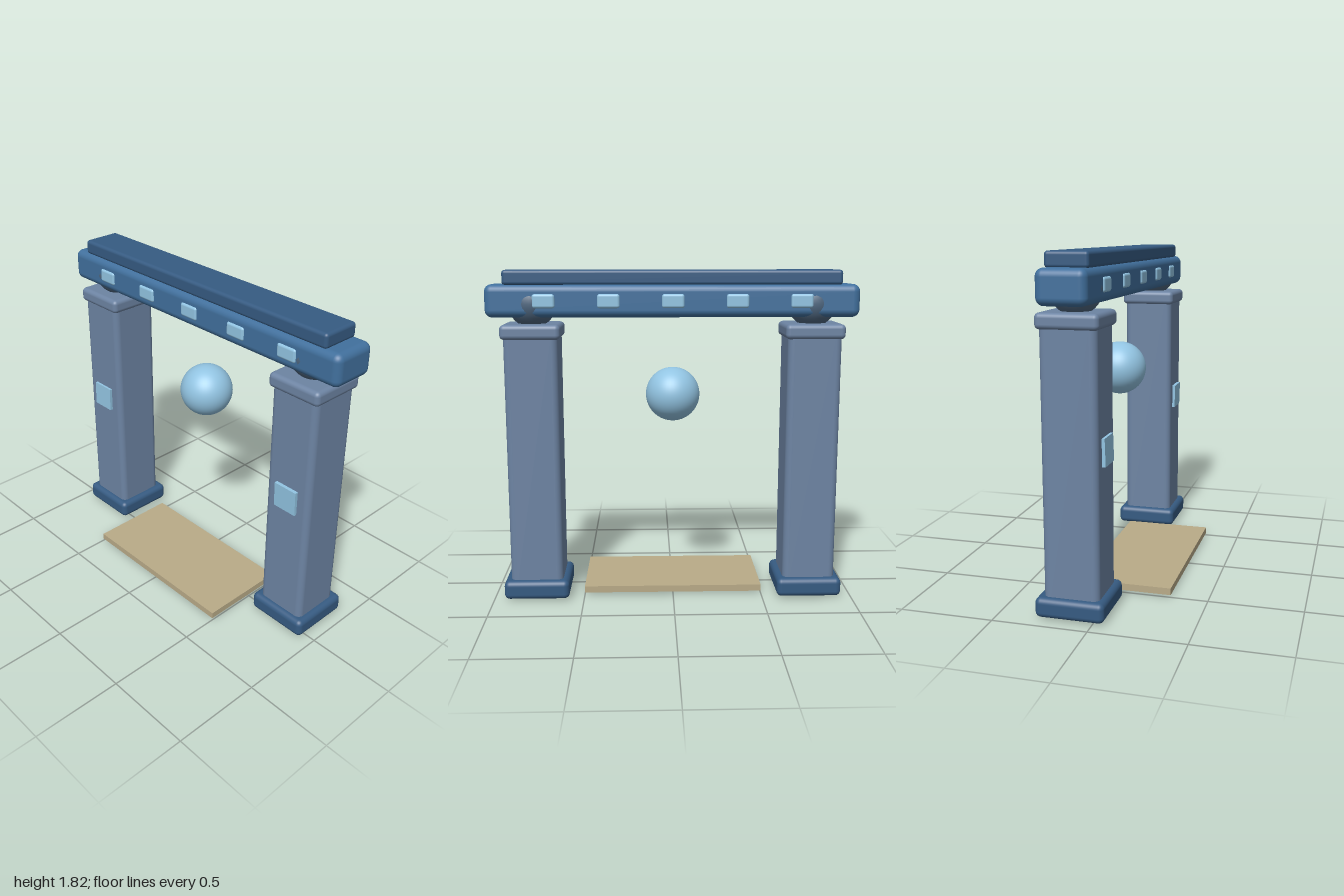
import * as THREE from 'three';
import { RoundedBoxGeometry } from 'three/addons/geometries/RoundedBoxGeometry.js';

const paint = (color) => new THREE.MeshStandardMaterial({ color });
const stone = paint(0x6d84a3);
const darkStone = paint(0x365b82);
const beamBlue = paint(0x41709d);
const jointGrey = paint(0x4f6780);
const glow = paint(0x92c4e2);
const sand = paint(0xb9ab88);

const ZC = -0.115; // the gate stands behind the doorstep

function add(parent, name, geometry, material, x, y, z) {
  const mesh = new THREE.Mesh(geometry, material);
  mesh.name = name;
  mesh.position.set(x, y, z);
  parent.add(mesh);
  return mesh;
}

// Rounded block given by its size, lower and upper height
function block(parent, name, w, y0, y1, d, r, material, x = 0, z = ZC) {
  const geometry = new RoundedBoxGeometry(w, y1 - y0, d, 4, r);
  return add(parent, name, geometry, material, x, (y0 + y1) / 2, z);
}

function createPillar(side) {
  const pillar = new THREE.Group();
  pillar.name = side > 0 ? 'leftPillar' : 'rightPillar';
  const x = side * 0.76;

  block(pillar, 'foot', 0.17, 0, 0.06, 0.17, 0.008, stone, x);
  block(pillar, 'base', 0.36, 0.01, 0.115, 0.36, 0.03, darkStone, x, -0.118);
  block(pillar, 'shaft', 0.29, 0.05, 1.5, 0.29, 0.035, stone, x);
  block(pillar, 'cap', 0.32, 1.45, 1.53, 0.32, 0.025, stone, x);

  // Ball joint carrying the beam
  add(pillar, 'ballJoint', new THREE.SphereGeometry(0.132, 32, 20), jointGrey, x, 1.637, ZC);

  // Glowing tile on the front of the shaft
  const tile = add(pillar, 'tile', new THREE.BoxGeometry(0.142, 0.142, 0.03), glow, x, 0.853, 0.032);
  tile.rotation.x = side * 0.03;
  return pillar;
}

export function createModel() {
  const model = new THREE.Group();
  model.name = 'gate';

  for (const side of [-1, 1]) model.add(createPillar(side));

  // Lintel and its coping
  block(model, 'beam', 2, 1.565, 1.74, 0.255, 0.04, beamBlue, 0, -0.112);
  block(model, 'coping', 1.81, 1.735, 1.815, 0.22, 0.018, darkStone, 0, -0.112);

  // Row of glowing studs along both faces of the beam
  for (let i = -2; i <= 2; i++) {
    for (const z of [0.007, -0.232]) {
      block(model, 'beamStud', 0.12, 1.615, 1.69, 0.036, 0.014, glow, i * 0.343, z);
    }
  }

  // Floating orb
  add(model, 'orb', new THREE.SphereGeometry(0.148, 48, 32), glow, 0, 1.14, -0.12);

  // Doorstep
  add(model, 'doorstep', new THREE.BoxGeometry(1, 0.037, 0.5), sand, 0, 0.031, 0.05);

  return model;
}
